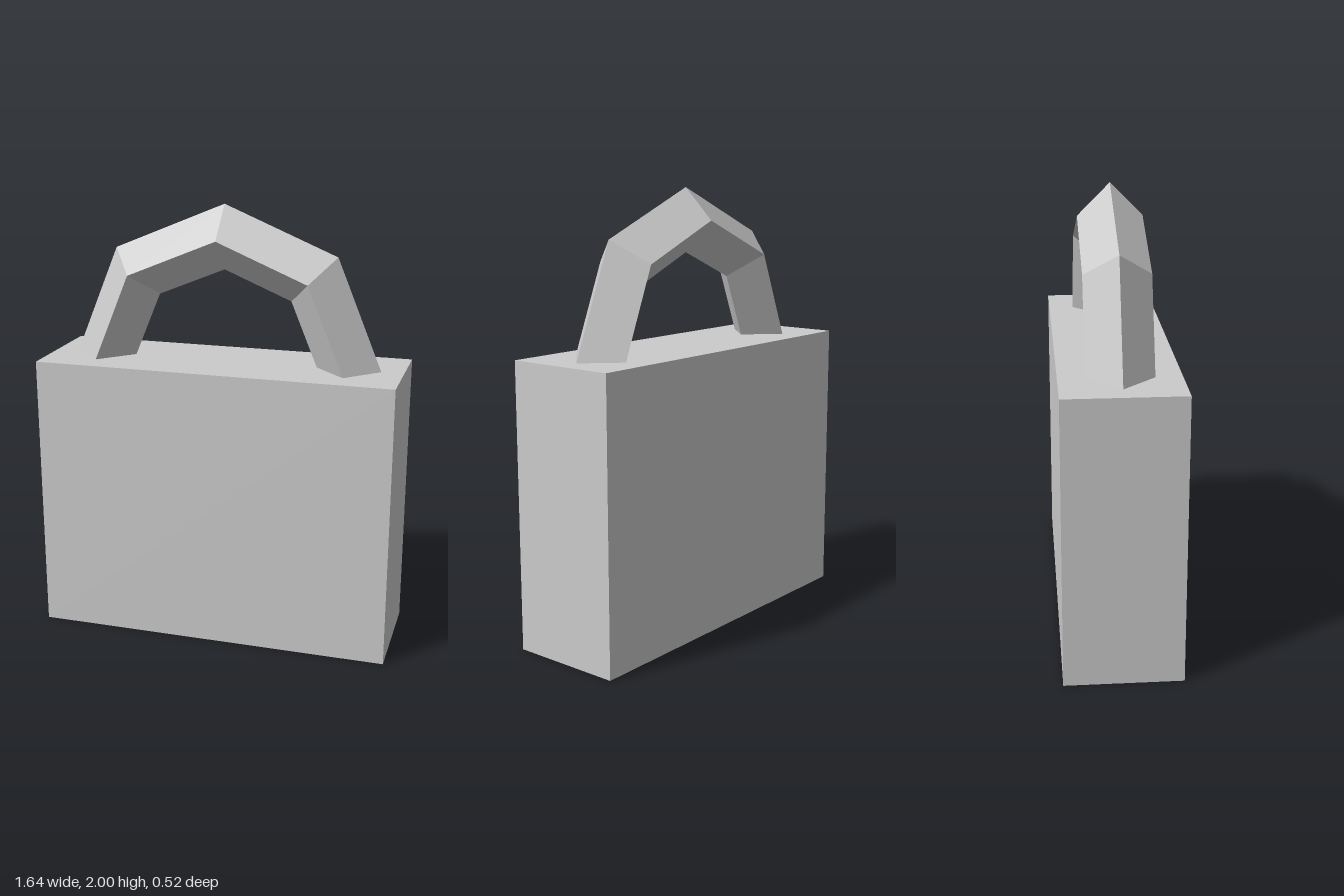
import * as THREE from 'three';

export function createModel() {
  const group = new THREE.Group();
  const material = new THREE.MeshStandardMaterial({ color: 0xcccccc, flatShading: true });

  // Solid rectangular padlock body
  const bodyHeight = 1.29;
  const body = new THREE.Mesh(new THREE.BoxGeometry(1.64, bodyHeight, 0.52), material);
  body.name = 'body';
  body.position.y = bodyHeight / 2;
  group.add(body);

  // Half-ring shackle with a diamond section, its ends sunk slightly into the body
  const shackle = new THREE.Mesh(new THREE.TorusGeometry(0.58, 0.145, 4, 4, Math.PI), material);
  shackle.name = 'shackle';
  shackle.position.y = 1.275;
  group.add(shackle);

  return group;
}
